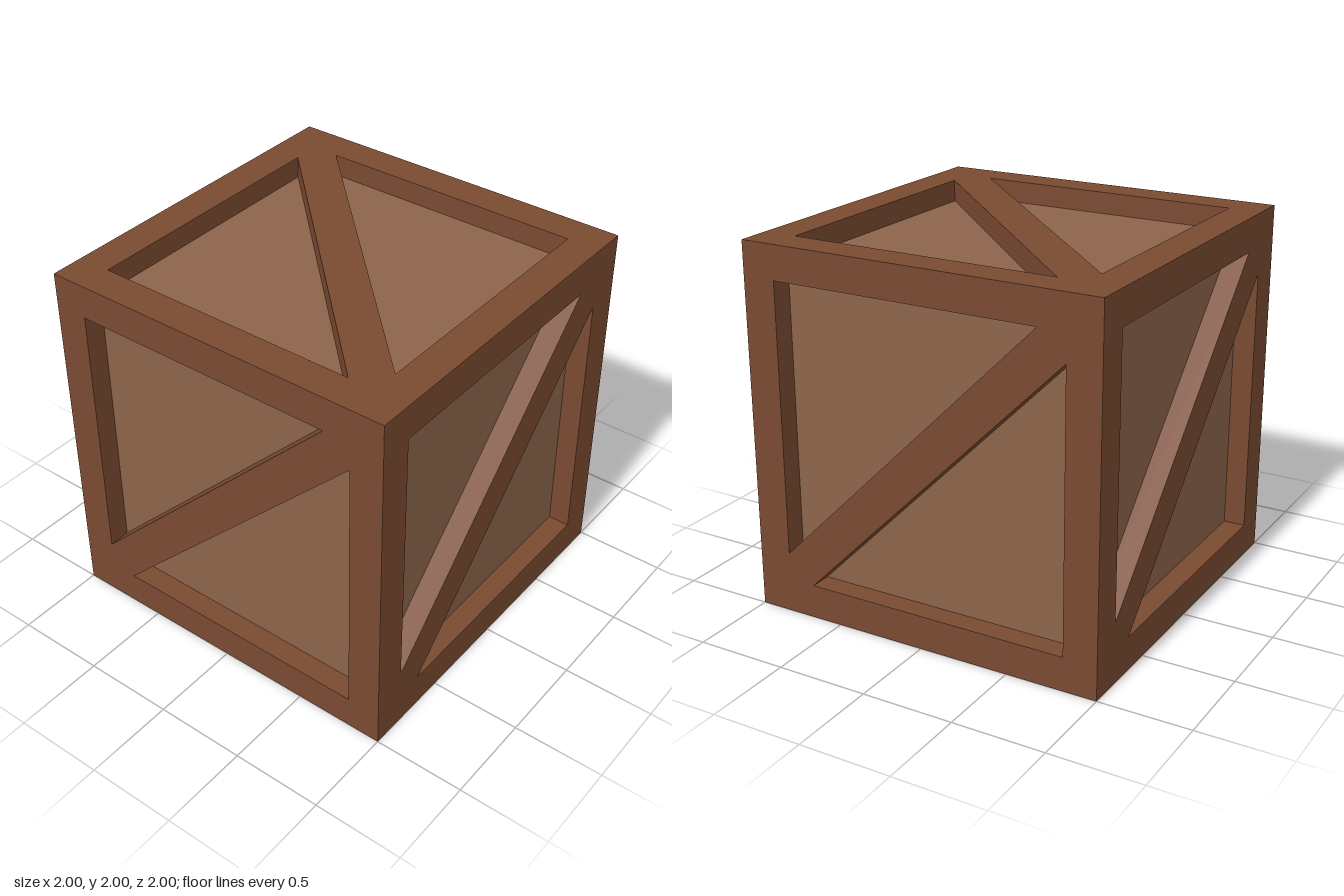
import * as THREE from 'three';

const HALF = 1;        // half of the crate's side
const INNER = 0.815;   // inner edge of the border boards
const BRACE = 0.15;    // offset of the brace's edges from the diagonal
const DEPTH = 0.12;    // thickness of the boards

// One side of the frame: border and diagonal brace, mitred so that six sides meet at the edges
function frameSideGeometry() {
  const shape = new THREE.Shape([
    new THREE.Vector2(-HALF, -HALF), new THREE.Vector2(HALF, -HALF),
    new THREE.Vector2(HALF, HALF), new THREE.Vector2(-HALF, HALF),
  ]);
  // two triangular openings, mirrored through the centre
  for (const s of [1, -1]) {
    shape.holes.push(new THREE.Path([
      new THREE.Vector2(-INNER * s, INNER * s),
      new THREE.Vector2((INNER - BRACE) * s, INNER * s),
      new THREE.Vector2(-INNER * s, (BRACE - INNER) * s),
    ]));
  }
  const geometry = new THREE.ExtrudeGeometry(shape, { depth: DEPTH, bevelEnabled: false });
  geometry.translate(0, 0, HALF - DEPTH);

  // pull the outer rim in at the back to form the mitre
  const pos = geometry.attributes.position;
  const inset = (v) => (Math.abs(v) > HALF - 0.01 ? Math.sign(v) * (HALF - DEPTH) : v);
  for (let i = 0; i < pos.count; i++) {
    if (pos.getZ(i) < HALF - DEPTH / 2) pos.setXY(i, inset(pos.getX(i)), inset(pos.getY(i)));
  }
  geometry.computeVertexNormals();
  return geometry;
}

export function createModel() {
  const crate = new THREE.Group();
  crate.name = 'crate';

  const frameMaterial = new THREE.MeshStandardMaterial({ color: 0x7a4a31 });
  const panelMaterial = new THREE.MeshStandardMaterial({ color: 0x8c644a });

  // Recessed panels: the faces of one inner box
  const core = 2 * (HALF - DEPTH);
  const panels = new THREE.Mesh(new THREE.BoxGeometry(core, core, core), panelMaterial);
  panels.name = 'panels';
  panels.position.y = HALF;
  crate.add(panels);

  // Frame sides, each turned from the front: [name, x turn, y turn] in quarter turns
  const sides = [
    ['frontFrame', 0, 0], ['leftFrame', 0, 1], ['backFrame', 0, 2],
    ['rightFrame', 0, 3], ['topFrame', -1, 0], ['bottomFrame', 1, 0],
  ];
  const geometry = frameSideGeometry();
  for (const [name, rx, ry] of sides) {
    const side = new THREE.Mesh(geometry, frameMaterial);
    side.name = name;
    side.rotation.set(rx * Math.PI / 2, ry * Math.PI / 2, 0);
    side.position.y = HALF;
    crate.add(side);
  }
  return crate;
}
